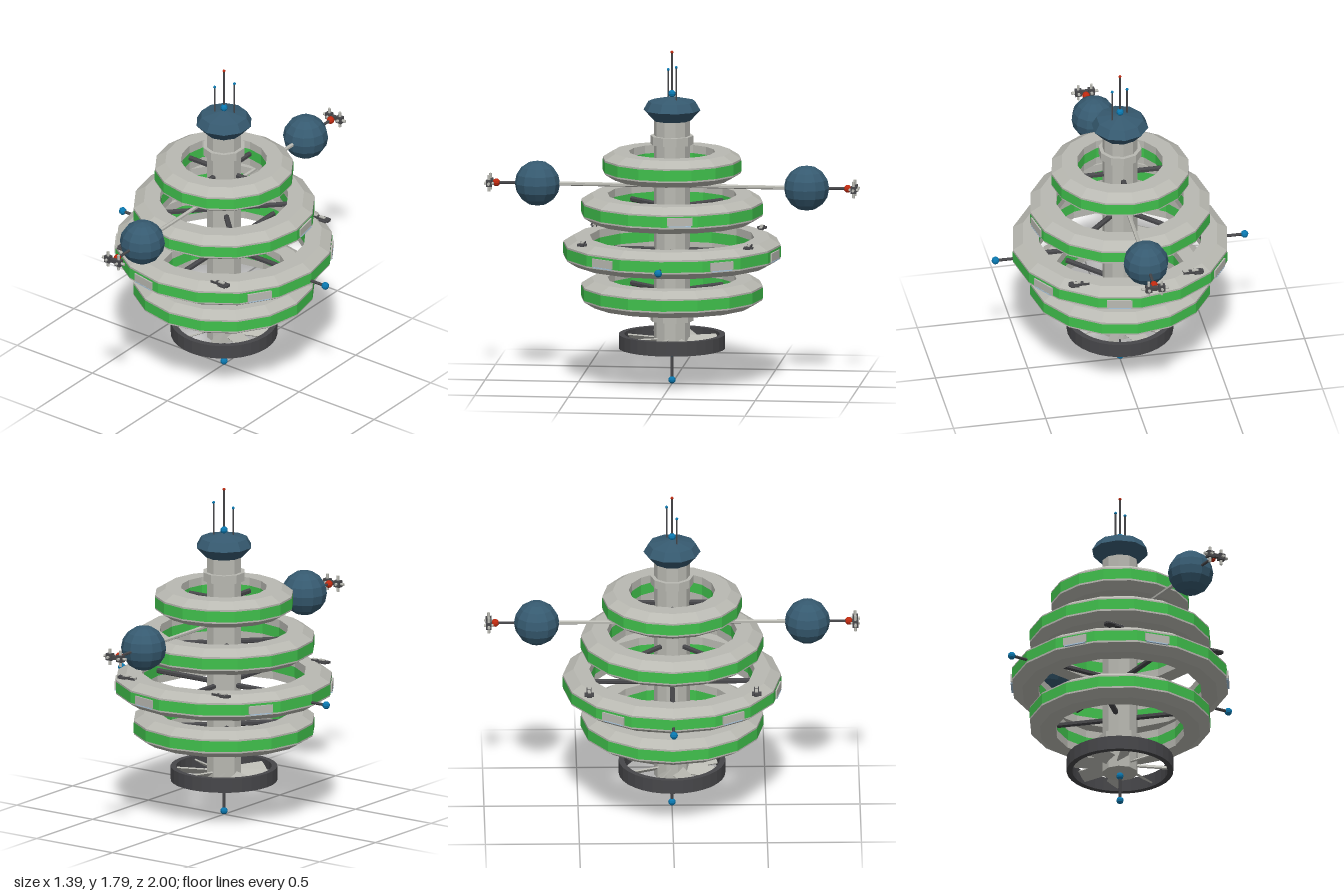
import * as THREE from 'three';

const mat = (name, color) => {
  const m = new THREE.MeshStandardMaterial({ color, flatShading: true });
  m.name = name;
  return m;
};

export function createModel() {
  const hull = mat('light grey hull', 0xb9b9b2);
  const dark = mat('dark grey metal', 0x47474a);
  const green = mat('green band', 0x40c04c);
  const navy = mat('slate blue', 0x365a70);
  const blue = mat('bright blue', 0x0a78b0);
  const red = mat('red beacon', 0xc02a10);
  const pale = mat('pale blue light', 0xa9c6de);

  const model = new THREE.Group();
  const add = (name, geo, material, x = 0, y = 0, z = 0, parent = model) => {
    const m = new THREE.Mesh(geo, material);
    m.name = name;
    m.position.set(x, y, z);
    parent.add(m);
    return m;
  };
  const group = (name, parent = model) => {
    const g = new THREE.Group();
    g.name = name;
    parent.add(g);
    return g;
  };
  const lathe = (pts, sides) => new THREE.LatheGeometry(pts.map(p => new THREE.Vector2(...p)), sides);
  const ball = (r, w = 8, h = 6) => new THREE.SphereGeometry(r, w, h);
  const box = (x, y, z) => new THREE.BoxGeometry(x, y, z);
  const rod = (r, len, sides = 6) => new THREE.CylinderGeometry(r, r, len, sides);
  const rodZ = (r, len, sides) => rod(r, len, sides).rotateX(Math.PI / 2);
  const rodX = (r, len, sides) => rod(r, len, sides).rotateZ(Math.PI / 2);

  // Central column, collars and crown
  add('column', rod(0.095, 1.25, 10), hull, 0, 0.805);
  for (const y of [0.363, 1.315]) add('collar', rod(0.115, 0.046, 10), hull, 0, y);
  add('crown', lathe([[0, 1.42], [0.1, 1.42], [0.152, 1.476], [0.126, 1.522], [0, 1.55]], 10), navy);

  // Habitat rings with green bands inside and out, and four spokes each
  const rings = [
    { y: 0.497, R: 0.485, turn: Math.PI / 4 },
    { y: 0.722, R: 0.58, turn: 0 },
    { y: 0.95, R: 0.485, turn: Math.PI / 4 },
    { y: 1.18, R: 0.37, turn: 0 },
  ];
  for (const { y, R, turn } of rings) {
    const g = group('habitatRing');
    g.position.y = y;
    const ri = R - 0.14;
    add('ringBody', lathe([[ri, -0.072], [R - 0.055, -0.072], [R, -0.038], [R, 0.038],
      [R - 0.055, 0.072], [ri, 0.072], [ri, -0.072]], 16), hull, 0, 0, 0, g);
    add('outerBand', lathe([[R + 0.002, -0.029], [R + 0.002, 0.029]], 16), green, 0, 0, 0, g);
    add('innerBand', lathe([[ri - 0.002, 0.029], [ri - 0.002, -0.029]], 16), green, 0, 0, 0, g);
    for (let i = 0; i < 4; i++) {
      const arm = group('spokeArm', g);
      arm.rotation.y = turn + i * Math.PI / 2;
      const len = ri - 0.06;
      add('spoke', rodZ(0.015, len), dark, 0, 0, 0.07 + len / 2, arm);
    }
  }

  // Docking bays set on the facets of the rings
  const bay = (y, R, deg) => {
    const g = group('dockingBay');
    g.position.y = y;
    g.rotation.y = THREE.MathUtils.degToRad(deg);
    const d = R * Math.cos(Math.PI / 16);
    add('bayHousing', box(0.135, 0.044, 0.02), hull, 0, -0.002, d, g);
    add('bayLight', box(0.12, 0.006, 0.018), pale, 0, -0.027, d + 0.002, g);
  };
  for (const a of [-11.25, 56.25, 123.75, 168.75, -56.25, -123.75]) bay(0.72, 0.58, a);
  bay(0.953, 0.485, 101.25);

  // Small craft parked on the widest ring
  for (const sx of [-1, 1]) for (const sz of [-1, 1]) {
    const g = group('parkedCraft');
    g.position.set(sx * 0.31, 0.79, sz * 0.445);
    add('craftBody', box(0.11, 0.012, 0.026), dark, 0, 0.006, 0, g);
    add('craftWing', box(0.045, 0.008, 0.05), dark, sx * 0.025, 0.004, 0, g);
    add('craftNose', box(0.03, 0.01, 0.018), hull, sx * -0.04, 0.01, 0, g);
    add('craftCabin', box(0.035, 0.008, 0.016), hull, sx * 0.01, 0.014, 0, g);
  }

  // Front and back pods, each on a boom with a beacon and thruster cluster
  for (const s of [0, 1]) {
    const g = group('podArm');
    g.position.y = 1.067;
    g.rotation.y = s * Math.PI;
    add('boom', rodZ(0.011, 0.55), hull, 0, 0, 0.345, g);
    add('pod', ball(0.121, 12, 8), navy, 0, 0, 0.72, g);
    add('podMast', rodZ(0.008, 0.14), dark, 0, 0, 0.89, g);
    add('beacon', ball(0.021), red, 0, 0, 0.94, g);
    add('clusterBar', box(0.06, 0.02, 0.02), dark, 0, 0, 0.975, g);
    for (const x of [-0.035, 0.035]) {
      add('clusterBlock', box(0.036, 0.036, 0.03), dark, x, 0, 0.975, g);
      add('verticalNozzles', rod(0.008, 0.088), hull, x, 0, 0.975, g);
      add('sideNozzles', rodX(0.008, 0.075), hull, x, 0, 0.975, g);
      add('axialNozzles', rodZ(0.008, 0.05), hull, x, 0, 0.975, g);
    }
  }

  // Side sensors
  for (const s of [-1, 1]) {
    add('sensorRod', rodX(0.008, 0.12), dark, s * 0.62, 0.705, 0);
    add('sensorTip', ball(0.021), blue, s * 0.675, 0.705, 0);
  }

  // Top antennas
  add('antennaBase', ball(0.02), blue, 0, 1.563, 0);
  for (const [x, z, top, tip] of [[0, 0, 1.787, red], [-0.043, 0.025, 1.685, blue], [0.048, -0.028, 1.713, blue]]) {
    add('antenna', rod(0.0045, top - 1.53), dark, x, (top + 1.53) / 2, z);
    add('antennaTip', ball(0.008), tip, x, top, z);
  }

  // Bottom probe
  add('probeRod', rod(0.007, 0.17), dark, 0, 0.1, 0);
  for (const y of [0.02, 0.163]) add('probeBall', ball(0.02), blue, 0, y, 0);

  // Shrouded fan at the base
  add('fanShroud', lathe([[0.254, 0.192], [0.284, 0.192], [0.284, 0.268], [0.254, 0.268], [0.254, 0.192]], 32), dark);
  for (let i = 0; i < 8; i++) {
    const g = group('fanArm');
    g.position.y = 0.23;
    g.rotation.y = (i + 0.5) * Math.PI / 4;
    const blade = add('fanBlade', box(0.07, 0.008, 0.18), hull, 0, 0, 0.17, g);
    blade.rotation.z = 0.6;
  }

  return model;
}
